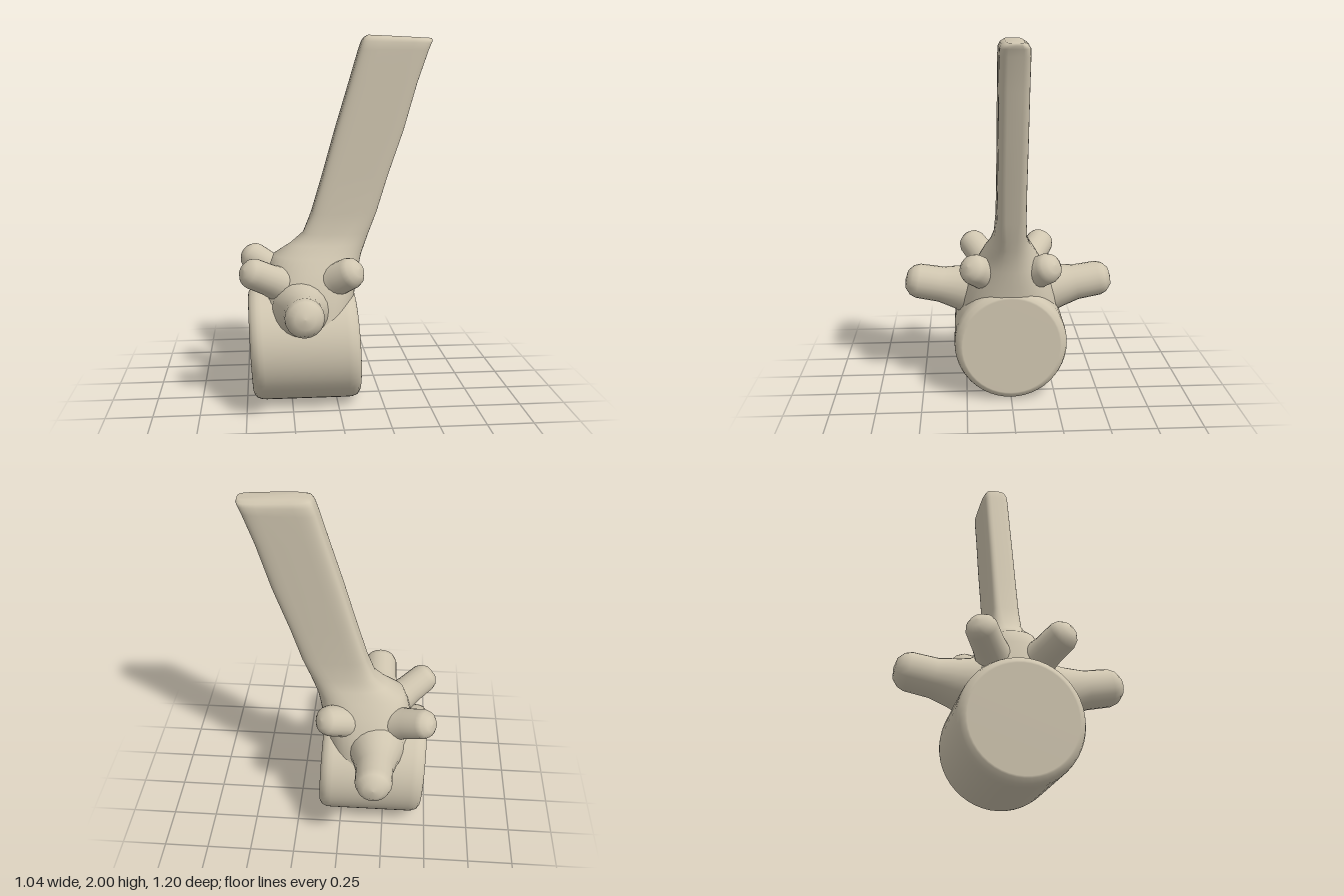
import * as THREE from 'three';

const bone = new THREE.MeshStandardMaterial({ color: 0xd0c6b0 });
bone.name = 'bone';

function part(name, geometry) {
  const mesh = new THREE.Mesh(geometry, bone);
  mesh.name = name;
  return mesh;
}

const profile = pts => pts.map(([r, y]) => new THREE.Vector2(r, y));

// Lofts superellipse rings given as [y, xMin, xMax, halfDepth, exponent, tilt]
function loft(rings, n = 40) {
  const pos = [], index = [];
  const curve = (v, e) => Math.sign(v) * Math.pow(Math.abs(v), 2 / e);
  for (const [y, x0, x1, depth, e, tilt = 0] of rings) {
    for (let i = 0; i < n; i++) {
      const t = (i / n) * Math.PI * 2;
      const u = curve(Math.cos(t), e);
      pos.push((x0 + x1) / 2 + (x1 - x0) / 2 * u, y + tilt * u, depth * curve(Math.sin(t), e));
    }
  }
  for (let r = 0; r < rings.length - 1; r++) {
    for (let i = 0; i < n; i++) {
      const a = r * n + i, b = r * n + (i + 1) % n;
      index.push(a, a + n, b, b, a + n, b + n);
    }
  }
  // top cap
  const last = rings[rings.length - 1], start = (rings.length - 1) * n, centre = pos.length / 3;
  pos.push((last[1] + last[2]) / 2, last[0], 0);
  for (let i = 0; i < n; i++) index.push(centre, start + (i + 1) % n, start + i);
  const g = new THREE.BufferGeometry();
  g.setAttribute('position', new THREE.Float32BufferAttribute(pos, 3));
  g.setIndex(index);
  g.computeVertexNormals();
  return g;
}

// Blunt bony stub from one point to another, flared at its root
function stub(name, from, to, radius, flare) {
  const a = new THREE.Vector3(...from), b = new THREE.Vector3(...to);
  const len = a.distanceTo(b), r = radius;
  const g = new THREE.LatheGeometry(profile([
    [r * flare, 0], [r * (1 + (flare - 1) * 0.45), len * 0.25], [r * 1.03, len * 0.5],
    [r, len - r * 0.75], [r * 0.86, len - r * 0.38], [r * 0.52, len - r * 0.08], [0, len],
  ]), 20);
  const mesh = part(name, g);
  mesh.position.copy(a);
  mesh.quaternion.setFromUnitVectors(new THREE.Vector3(0, 1, 0), b.sub(a).normalize());
  return mesh;
}

export function createModel() {
  const group = new THREE.Group();
  group.name = 'vertebra';

  // Drum-shaped body lying along x, slightly sheared
  const h = 0.295, R = 0.317;
  const drum = new THREE.LatheGeometry(profile([
    [0, -h], [R - 0.045, -h], [R - 0.035, -h + 0.002], [R - 0.012, -h + 0.018], [R - 0.002, -h + 0.045],
    [R, -h + 0.07], [R, h - 0.07],
    [R - 0.002, h - 0.045], [R - 0.012, h - 0.018], [R - 0.035, h - 0.002], [R - 0.045, h], [0, h],
  ]), 48);
  drum.rotateZ(-Math.PI / 2);
  drum.applyMatrix4(new THREE.Matrix4().set(1, -0.045, 0, -0.18, 0, 1, 0, R, 0, 0, 1, 0, 0, 0, 0, 1));
  group.add(part('body', drum));

  // Arch narrowing into the tall, leaning spine blade
  group.add(part('archAndSpine', loft([
    [0.40, -0.43, 0.07, 0.29, 2.6],
    [0.55, -0.41, 0.09, 0.265, 2.5],
    [0.66, -0.39, 0.11, 0.23, 2.3],
    [0.75, -0.37, 0.125, 0.185, 2.2],
    [0.82, -0.345, 0.14, 0.145, 2.3],
    [0.88, -0.25, 0.16, 0.11, 2.6],
    [0.94, -0.18, 0.18, 0.09, 3.2],
    [1.05, -0.135, 0.22, 0.08, 4.5],
    [1.25, -0.075, 0.28, 0.078, 5],
    [1.50, -0.005, 0.365, 0.078, 5],
    [1.75, 0.07, 0.435, 0.078, 5],
    [1.92, 0.12, 0.493, 0.078, 5],
    [1.96, 0.135, 0.508, 0.076, 5, -0.004],
    [1.98, 0.148, 0.516, 0.066, 4.5, -0.008],
    [1.992, 0.168, 0.512, 0.045, 4, -0.008],
  ])));

  // Side processes and the four upper knobs
  for (const [side, s] of [['front', 1], ['back', -1]]) {
    group.add(stub(side + 'Process', [-0.2, 0.55, 0.19 * s], [-0.2, 0.622, 0.597 * s], 0.1, 1.6));
    group.add(stub(side + 'RightKnob', [-0.25, 0.64, 0.07 * s], [-0.505, 0.79, 0.235 * s], 0.082, 1.35));
    group.add(stub(side + 'LeftKnob', [-0.1, 0.64, 0.07 * s], [0.105, 0.785, 0.24 * s], 0.085, 1.35));
  }
  return group;
}
